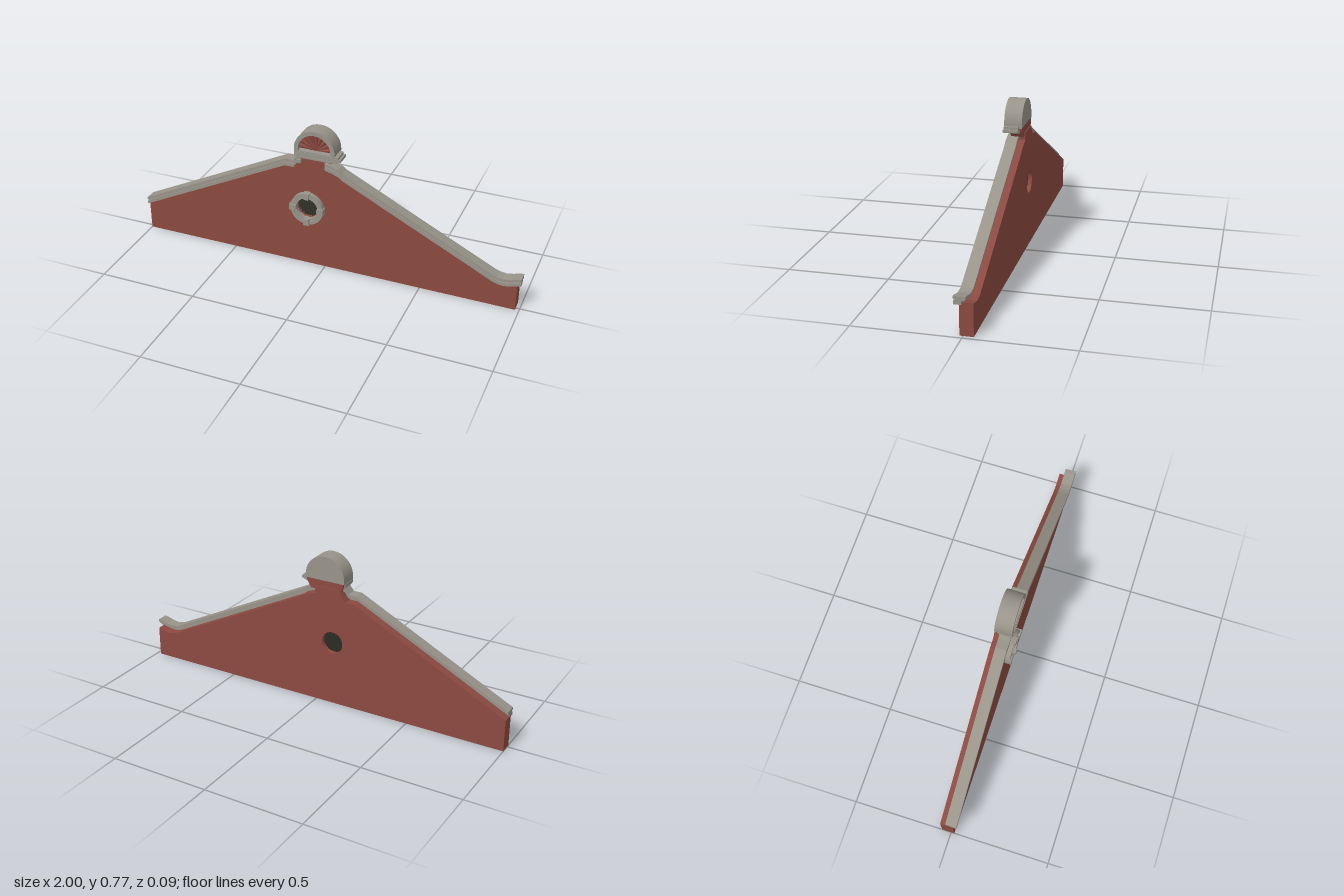
import * as THREE from 'three';

const brick = new THREE.MeshStandardMaterial({ color: 0x8c4a40 });
brick.name = 'red brick';
const stone = new THREE.MeshStandardMaterial({ color: 0x98948a });
stone.name = 'grey stone';
const dark = new THREE.MeshStandardMaterial({ color: 0x2a2b22 });
dark.name = 'dark louvre';

const ARCH = { x: -0.045, y: 0.663, r: 0.105, inner: 0.084 };
const WIN = { x: -0.09, y: 0.33, r: 0.056 };

// Coping top lines, from the outer ends towards the neck and back out
const COPING_LEFT = [[-1, 0.193], [-0.205, 0.59], [-0.16, 0.59], [-0.14, 0.618], [-0.12, 0.618]];
const COPING_RIGHT = [[0.005, 0.605], [0.045, 0.594], [0.075, 0.582], [0.095, 0.566],
  [0.86, 0.185], [0.885, 0.176], [0.915, 0.172], [0.95, 0.178], [0.98, 0.188], [1, 0.19]];
const COPING_DEPTH = 0.032;

export function createModel() {
  const model = new THREE.Group();

  const add = (name, geometry, material, parent = model) => {
    const mesh = new THREE.Mesh(geometry, material);
    mesh.name = name;
    parent.add(mesh);
    return mesh;
  };
  const outline = (pts) => new THREE.Shape(pts.map(([x, y]) => new THREE.Vector2(x, y)));
  // Extrude a front outline between two depths
  const slab = (shape, z0, z1) =>
    new THREE.ExtrudeGeometry(shape, { depth: z1 - z0, bevelEnabled: false, curveSegments: 20 }).translate(0, 0, z0);
  const box = (x0, x1, y0, y1, z0, z1) =>
    new THREE.BoxGeometry(x1 - x0, y1 - y0, z1 - z0).translate((x0 + x1) / 2, (y0 + y1) / 2, (z0 + z1) / 2);
  const hole = (x, y, r) => new THREE.Path().absarc(x, y, r, 0, Math.PI * 2, true);

  // Gable wall with a round opening
  const lower = ([x, y]) => [x, y - COPING_DEPTH];
  const wall = outline([
    [-1, 0], [0.98, 0], [0.98, 0.155],
    ...COPING_RIGHT.slice(0, -2).map(lower).reverse(),
    [0.005, 0.612], [-0.125, 0.612],
    ...COPING_LEFT.slice(0, -1).map(lower).reverse(),
  ]);
  wall.holes.push(hole(WIN.x, WIN.y, WIN.r));
  add('gableWall', slab(wall, -0.047, 0.016), brick);

  // Moulded coping: top slab, recessed fillet, bottom slab
  const layers = [[0, 0.013, -0.02, 0.036], [0.013, 0.021, -0.015, 0.028], [0.021, 0.038, 0, 0.035]];
  for (const [side, line] of [['left', COPING_RIGHT], ['right', COPING_LEFT]]) {
    const coping = new THREE.Group();
    coping.name = side + 'Coping';
    model.add(coping);
    layers.forEach(([a, b, z0, z1], i) => {
      const band = outline([
        ...line.map(([x, y]) => [x, y - b]),
        ...line.map(([x, y]) => [x, y - a]).reverse(),
      ]);
      add('copingLayer' + (i + 1), slab(band, z0, z1), stone, coping);
    });
  }

  // Brick neck carrying the arched crown
  add('neck', slab(outline([[-0.125, 0.595], [0.03, 0.595], [0.052, 0.63], [0.054, 0.647],
    [-0.146, 0.647], [-0.142, 0.625]]), -0.042, 0.018), brick);

  // Arched crown: rim, solid back and fan panel
  const crown = new THREE.Group();
  crown.name = 'archedCrown';
  model.add(crown);
  const dome = (r, base) => {
    const s = new THREE.Shape();
    s.moveTo(ARCH.x - r, base);
    s.lineTo(ARCH.x + r, base);
    s.absarc(ARCH.x, ARCH.y, r, 0, Math.PI, false);
    s.closePath();
    return s;
  };
  const rim = dome(ARCH.r, 0.645);
  rim.holes.push(new THREE.Path(dome(ARCH.inner, 0.651).getPoints(20).reverse()));
  add('archRim', slab(rim, 0, 0.045), stone, crown);
  add('archBack', slab(dome(ARCH.r, 0.645), -0.042, 0), stone, crown);
  add('fanPanel', slab(dome(ARCH.inner, 0.651), 0, 0.014), brick, crown);
  const RIBS = 9;
  for (let i = 0; i < RIBS; i++) {
    const angle = ((i + 0.5) / RIBS) * Math.PI;
    const rib = new THREE.CylinderGeometry(0.012, 0.002, 0.083, 8).translate(0, 0.0415, 0);
    rib.rotateZ(angle - Math.PI / 2).translate(ARCH.x, 0.657, 0.017);
    add('fanRib', rib, brick, crown);
  }

  // Stepped ledge under the crown
  const ledge = new THREE.Group();
  ledge.name = 'crownLedge';
  model.add(ledge);
  add('ledgeTop', box(-0.148, 0.078, 0.643, 0.655, -0.027, 0.043), stone, ledge);
  add('ledgeMiddle', box(-0.15, 0.09, 0.63, 0.643, -0.028, 0.045), stone, ledge);
  add('ledgeBottom', slab(outline([[-0.14, 0.618], [0.06, 0.62], [0.085, 0.63], [-0.148, 0.63]]),
    -0.03, 0.048), stone, ledge);

  // Round window: stepped ring, four keystones and louvres
  const win = new THREE.Group();
  win.name = 'roundWindow';
  model.add(win);
  const ring = (r0, r1, z0, z1) => {
    const s = new THREE.Shape().absarc(WIN.x, WIN.y, r1, 0, Math.PI * 2, false);
    s.holes.push(hole(WIN.x, WIN.y, r0));
    return slab(s, z0, z1);
  };
  add('outerRing', ring(0.07, 0.086, 0.012, 0.04), stone, win);
  add('innerRing', ring(WIN.r, 0.072, 0.012, 0.034), stone, win);
  for (let i = 0; i < 4; i++) {
    const key = slab(outline([[0.056, -0.012], [0.09, -0.017], [0.09, 0.017], [0.056, 0.012]]), 0.014, 0.048);
    add('keystone', key.rotateZ(i * Math.PI / 2).translate(WIN.x, WIN.y, 0), stone, win);
  }
  const pane = new THREE.CylinderGeometry(WIN.r, WIN.r, 0.012, 40).rotateX(Math.PI / 2);
  add('louvreBack', pane.translate(WIN.x, WIN.y, -0.02), dark, win);
  for (let i = -4; i <= 4; i++) {
    const y = i * 0.0115;
    const w = 2 * Math.sqrt(0.054 ** 2 - y * y);
    const slat = new THREE.BoxGeometry(w, 0.003, 0.02).rotateX(0.6);
    add('louvreSlat', slat.translate(WIN.x, WIN.y + y, -0.006), dark, win);
  }

  return model;
}
